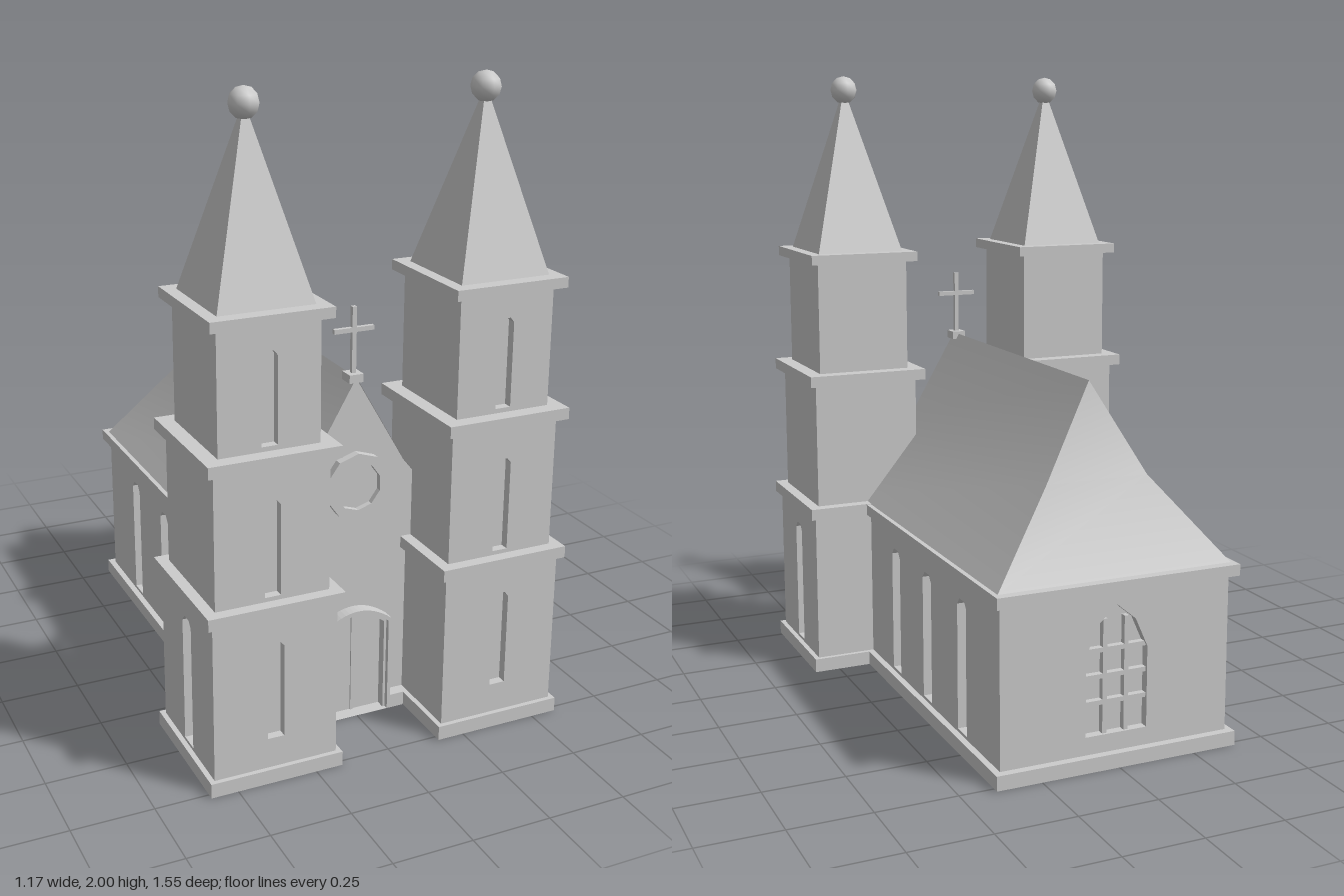
import * as THREE from 'three';
import { toCreasedNormals } from 'three/addons/utils/BufferGeometryUtils.js';

const T = 0.03; // wall thickness and window recess depth
const mat = new THREE.MeshStandardMaterial({ color: 0xcccccc, side: THREE.DoubleSide });
const flat = new THREE.MeshStandardMaterial({ color: 0xcccccc, side: THREE.DoubleSide, flatShading: true });

function add(parent, name, geometry, x = 0, y = 0, z = 0, material = mat) {
  const mesh = new THREE.Mesh(geometry, material);
  mesh.name = name;
  mesh.position.set(x, y, z);
  parent.add(mesh);
  return mesh;
}

const box = (parent, name, w, h, d, x, y0, z) =>
  add(parent, name, new THREE.BoxGeometry(w, h, d), x, y0 + h / 2, z);

const poly = (pts) => new THREE.Shape(pts.map(([x, y]) => new THREE.Vector2(x, y)));
const extrude = (shape, depth) => new THREE.ExtrudeGeometry(shape, { depth, bevelEnabled: false, curveSegments: 8 });

// Narrow window outline with a clipped head
const slit = (x, hw, y0, y1) => poly([
  [x - hw, y0], [x + hw, y0], [x + hw, y1 - hw * 0.6], [x + hw * 0.5, y1], [x - hw * 0.5, y1], [x - hw, y1 - hw * 0.6],
]);

// Wall panel: outer face at local z = 0, openings backed by recessed panes
function panel(parent, name, outline, windows = []) {
  const group = new THREE.Group();
  group.name = name;
  outline.holes.push(...windows);
  add(group, 'wall', extrude(outline, T), 0, 0, -T);
  for (const w of windows) add(group, 'windowPane', new THREE.ShapeGeometry(w), 0, 0, -T + 0.002);
  parent.add(group);
  return group;
}

const rect = (w, h) => poly([[-w / 2, 0], [w / 2, 0], [w / 2, h], [-w / 2, h]]);

// Open rectangular plinth frame
function plinth(parent, w, d, x, z, h, rim) {
  const s = poly([[-w / 2, -d / 2], [w / 2, -d / 2], [w / 2, d / 2], [-w / 2, d / 2]]);
  const a = w / 2 - rim, b = d / 2 - rim;
  s.holes.push(poly([[-a, -b], [-a, b], [a, b], [a, -b]]));
  add(parent, 'plinth', extrude(s, h).rotateX(-Math.PI / 2), x, 0, z);
}

function tower(side) {
  const g = new THREE.Group();
  g.name = side > 0 ? 'leftTower' : 'rightTower';
  g.position.set(side * 0.374, 0, 0.55);

  // Ground storey: hollow, with windows at the front and the outer side
  const w = 0.388, d = 0.41, h = 0.545;
  plinth(g, 0.42, 0.44, 0, 0, 0.045, 0.045);
  panel(g, 'frontWall', rect(w, h), [slit(0, 0.026, 0.14, 0.45)]).position.z = d / 2;
  const back = panel(g, 'backWall', rect(w, h));
  back.position.z = -d / 2;
  back.rotation.y = Math.PI;
  for (const s of [-1, 1]) {
    const wall = panel(g, 'sideWall', rect(d, h), s === side ? [slit(0, 0.034, 0.055, 0.47)] : []);
    wall.position.x = s * w / 2;
    wall.rotation.y = s * Math.PI / 2;
  }

  // Upper storeys: width, depth, bottom, top, window sill, window head
  for (const [sw, sd, y0, y1, sill, head] of [
    [0.354, 0.37, 0.565, 0.99, 0.585, 0.88],
    [0.31, 0.333, 1.015, 1.395, 1.035, 1.31],
  ]) {
    box(g, 'storey', sw, y1 - y0, sd - T, 0, y0, -T / 2);
    const front = panel(g, 'storeyFront', rect(sw, y1 - y0), [slit(0, 0.025, sill - y0, head - y0)]);
    front.position.set(0, y0, sd / 2);
  }

  // Cornices: width, depth, bottom, height
  for (const [cw, cd, y, ch] of [
    [0.424, 0.445, 0.535, 0.037], [0.404, 0.428, 0.985, 0.036], [0.368, 0.394, 1.388, 0.032],
  ]) box(g, 'cornice', cw, ch, cd, 0, y, 0);

  // Pyramid spire and ball
  const spire = new THREE.ConeGeometry(Math.SQRT1_2, 0.54, 4).rotateY(Math.PI / 4).scale(0.292, 1, 0.304);
  add(g, 'spire', spire, 0, 1.69, 0, flat);
  add(g, 'finialBall', new THREE.SphereGeometry(0.046, 8, 6), 0, 1.954, 0);
  return g;
}

// Flared roof with a hipped back end: each row is half width, height, back z
function roofGeometry() {
  const rows = [[0.378, 0.57, -0.745], [0.165, 0.83, -0.61], [0, 1.115, -0.55]];
  const front = 0.5, p = [];
  const quad = (a, b, c, d) => p.push(...a, ...b, ...c, ...a, ...c, ...d);
  for (let i = 0; i < 2; i++) {
    const [x0, y0, z0] = rows[i], [x1, y1, z1] = rows[i + 1];
    quad([x0, y0, front], [x0, y0, z0], [x1, y1, z1], [x1, y1, front]);
    quad([-x0, y0, z0], [-x0, y0, front], [-x1, y1, front], [-x1, y1, z1]);
    if (x1 > 0) quad([x0, y0, z0], [-x0, y0, z0], [-x1, y1, z1], [x1, y1, z1]);
    else p.push(x0, y0, z0, -x0, y0, z0, 0, y1, z1);
  }
  const geo = new THREE.BufferGeometry();
  geo.setAttribute('position', new THREE.Float32BufferAttribute(p, 3));
  return toCreasedNormals(geo, 0.5);
}

// Low-arched doorway outline
function arch(hw, spring, top) {
  const s = new THREE.Shape();
  s.moveTo(-hw, 0);
  s.lineTo(hw, 0);
  s.lineTo(hw, spring);
  s.quadraticCurveTo(hw * 0.5, top, 0, top);
  s.quadraticCurveTo(-hw * 0.5, top, -hw, spring);
  s.closePath();
  return s;
}

function nave() {
  const g = new THREE.Group();
  g.name = 'nave';
  const backZ = -0.745, frontZ = 0.5, mid = (backZ + frontZ) / 2, h = 0.55;
  plinth(g, 0.785, 1.12, 0, -0.21, 0.045, 0.05);
  box(g, 'eavesCornice', 0.786, 0.035, 1.225, 0, 0.535, -0.1625);
  add(g, 'roof', roofGeometry());

  // Side walls with three tall windows each
  for (const s of [-1, 1]) {
    const windows = [0.1, -0.18, -0.467].map((z) => slit(-s * (z - mid), 0.036, 0.055, 0.47));
    const wall = panel(g, 'sideWall', rect(frontZ - backZ, h), windows);
    wall.position.set(s * 0.372, 0, mid);
    wall.rotation.y = s * Math.PI / 2;
  }

  // Back wall with a pointed window and glazing bars
  const pointed = (k) => poly([[-0.1 * k, 0.1], [0.1 * k, 0.1], [0.1 * k, 0.35],
    [0.06 * k, 0.44], [0, 0.49], [-0.06 * k, 0.44], [-0.1 * k, 0.35]]);
  const back = panel(g, 'backWall', rect(0.744, h), [pointed(1)]);
  back.position.z = backZ;
  back.rotation.y = Math.PI;
  for (const x of [-0.035, 0.035]) box(back, 'mullion', 0.014, 0.35, 0.02, x, 0.1, -0.018);
  for (const y of [0.19, 0.27, 0.35]) box(back, 'glazingBar', 0.2, 0.014, 0.02, 0, y, -0.018);

  // Gabled front
  const gable = poly([[-0.37, 0], [0.37, 0], [0.37, 0.575], [0.165, 0.828], [0, 1.112], [-0.165, 0.828], [-0.37, 0.575]]);
  gable.holes.push(arch(0.11, 0.31, 0.36));
  add(g, 'gableWall', extrude(gable, T), 0, 0, frontZ - T);
  for (const s of [-1, 1]) box(g, 'frontPlinth', 0.07, 0.045, 0.05, s * 0.145, 0, 0.515);
  return g;
}

function doorway() {
  const g = new THREE.Group();
  g.name = 'doorway';
  // Two stepped surrounds: outer size, inner size, depth
  for (const [a, b, z1] of [[[0.117, 0.317, 0.365], [0.106, 0.31, 0.352], 0.54], [[0.107, 0.311, 0.353], [0.098, 0.303, 0.342], 0.525]]) {
    const ring = arch(...a);
    ring.holes.push(arch(...b));
    add(g, 'doorSurround', extrude(ring, z1 - 0.46), 0, 0, 0.46);
  }
  add(g, 'doorLeaves', extrude(arch(0.1, 0.304, 0.343), 0.02), 0, 0, 0.475);
  box(g, 'doorMeetingStrip', 0.008, 0.335, 0.006, 0, 0, 0.497);
  return g;
}

function roseWindow() {
  const g = new THREE.Group();
  g.name = 'roseWindow';
  g.position.set(0, 0.775, 0.49);
  const profile = [[0.076, 0], [0.107, 0], [0.107, 0.036], [0.076, 0.036], [0.076, 0]];
  const ring = new THREE.LatheGeometry(profile.map(([r, y]) => new THREE.Vector2(r, y)), 10);
  add(g, 'roseFrame', ring.rotateX(Math.PI / 2), 0, 0, 0, flat);
  add(g, 'rosePane', new THREE.CylinderGeometry(0.08, 0.08, 0.015, 10).rotateX(Math.PI / 2), 0, 0, 0.01, flat);
  return g;
}

function gableCross() {
  const g = new THREE.Group();
  g.name = 'gableCross';
  g.position.z = 0.478;
  box(g, 'crossFoot', 0.046, 0.026, 0.05, 0, 1.098, 0);
  box(g, 'crossPost', 0.014, 0.21, 0.014, 0, 1.118, 0);
  box(g, 'crossBar', 0.13, 0.014, 0.014, 0, 1.25, 0);
  return g;
}

export function createModel() {
  const model = new THREE.Group();
  model.name = 'church';
  model.add(nave(), tower(1), tower(-1), doorway(), roseWindow(), gableCross());
  return model;
}
